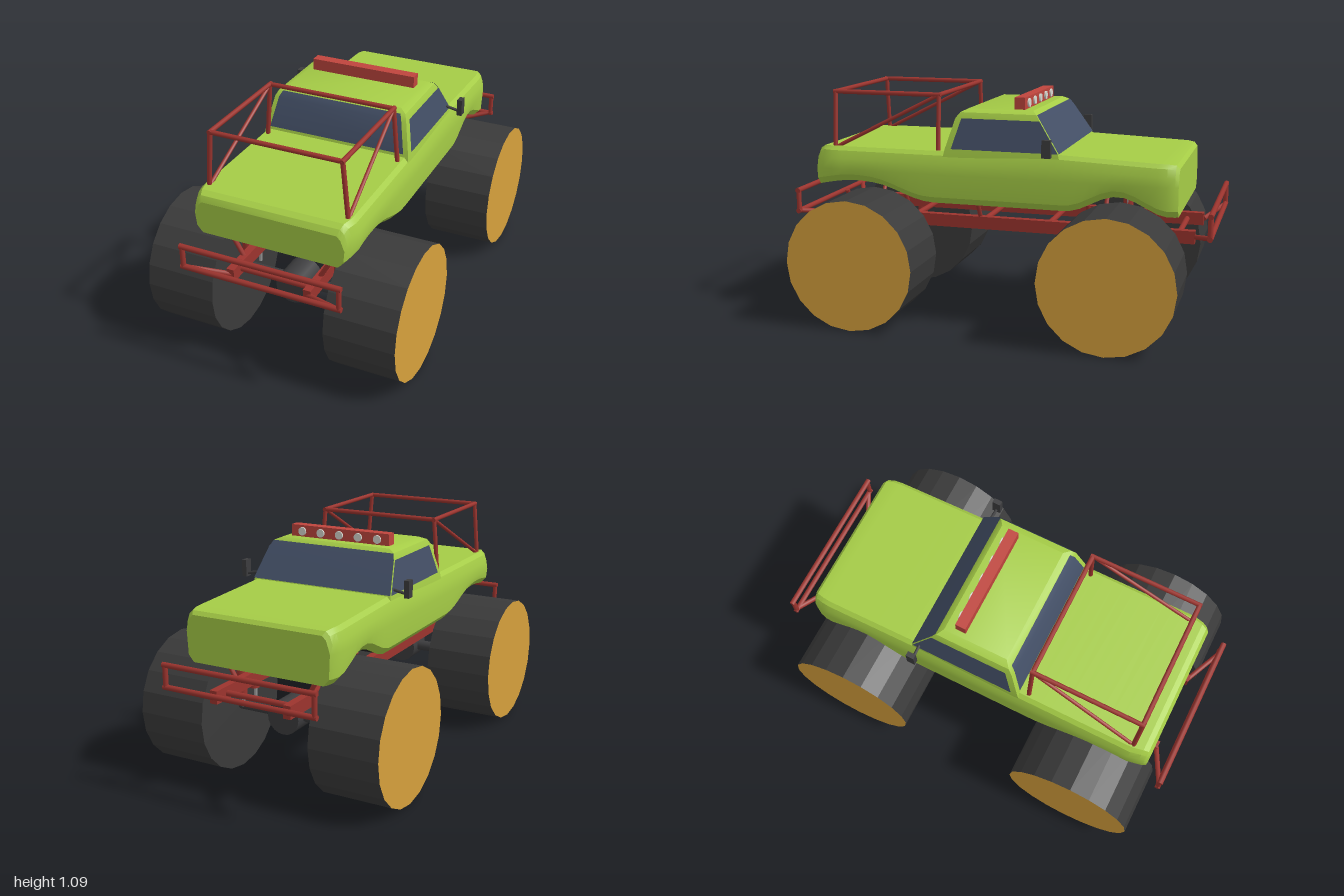
import * as THREE from 'three';
import { toCreasedNormals } from 'three/addons/utils/BufferGeometryUtils.js';

const mat = (color, extra = {}) => {
  const m = new THREE.MeshStandardMaterial({ color });
  return Object.assign(m, extra);
};
const GREEN = mat(0xa5cc46);
const RED = mat(0x9c342e);
const LIGHT_RED = mat(0xbf453d);
const DARK = mat(0x3c3c3e);
const TYRE = mat(0x3a3a3a, { flatShading: true });
const GOLD = mat(0xd6a03c);
const STEEL = mat(0x9a9a9a);
const LAMP = mat(0xd8d8d0);
const GLASS = mat(0x434f66, { side: THREE.DoubleSide });
const UNDER = mat(0x222222, { side: THREE.DoubleSide });

const V = (x, y, z) => new THREE.Vector3(x, y, z);

// Skin through a list of rings of points, optionally closed and capped
function loft(rings, { closed = false, caps = false, crease = 0.5 } = {}) {
  const n = rings[0].length, idx = [];
  const span = closed ? n : n - 1;
  for (let i = 0; i < rings.length - 1; i++) {
    for (let j = 0; j < span; j++) {
      const k = (j + 1) % n;
      const a = i * n + j, b = i * n + k, c = b + n, d = a + n;
      idx.push(a, d, c, a, c, b);
    }
  }
  if (caps) {
    const last = (rings.length - 1) * n;
    for (let k = 1; k < n - 1; k++) idx.push(0, k, k + 1, last, last + k + 1, last + k);
  }
  const g = new THREE.BufferGeometry().setFromPoints(rings.flat());
  g.setIndex(idx);
  return toCreasedNormals(g, crease);
}

export function createModel() {
  const root = new THREE.Group();
  const group = (name, parent = root) => {
    const g = new THREE.Group();
    g.name = name;
    parent.add(g);
    return g;
  };
  const add = (parent, name, geo, material, x = 0, y = 0, z = 0) => {
    const m = new THREE.Mesh(geo, material);
    m.name = name;
    m.position.set(x, y, z);
    parent.add(m);
    return m;
  };
  // Round bar between two points
  const bar = (parent, name, a, b, r, material = RED, sides = 8) => {
    const d = b.clone().sub(a);
    const m = add(parent, name, new THREE.CylinderGeometry(r, r, d.length(), sides), material);
    m.position.copy(a).add(b).multiplyScalar(0.5);
    m.quaternion.setFromUnitVectors(V(0, 1, 0), d.normalize());
    return m;
  };
  const AXLES = [0.63, -0.57];

  // Body shell: cross-sections along z with wheel arches in the lower edge
  const bump = (z, c, half) => Math.abs(z - c) < half ? Math.cos((z - c) / half * Math.PI / 2) ** 2 : 0;
  const lower = z => 0.58 + 0.08 * bump(z, 0.63, 0.33) + 0.08 * bump(z, -0.57, 0.24)
    + 0.045 * THREE.MathUtils.smoothstep(z, 0.6, 0.88);
  const upper = z => z > -0.3 ? 0.825 + 0.01 * THREE.MathUtils.smoothstep(-z, -0.2, 0.3)
    : 0.835 - 0.02 * (-0.3 - z) / 0.52;
  const section = (z, top, w, bot) => {
    const half = [[0.91 * w, bot], [0.985 * w, bot + 0.032], [w, 0.72], [0.985 * w, top - 0.055],
      [0.95 * w, top - 0.018], [0.9 * w, top]];
    return [...half.map(([x, y]) => V(x, y, z)), ...half.reverse().map(([x, y]) => V(-x, y, z))];
  };
  const stations = [[0.89, 0.785, 0.352], [0.875, 0.81, 0.362], [0.85, 0.825, 0.37]];
  for (let z = 0.8; z > -0.76; z -= 0.05) stations.push([z, upper(z), 0.382]);
  stations.push([-0.79, 0.817, 0.378], [-0.825, 0.812, 0.368], [-0.84, 0.795, 0.358]);
  const body = group('body');
  const rings = stations.map(([z, t, w]) => section(z, t, w, lower(z)));
  add(body, 'bodyShell', loft(rings, { caps: true, crease: 0.45 }), GREEN);
  add(body, 'undertray', loft(rings.map(r => [r[11], r[0]].map(p => V(p.x, p.y + 0.003, p.z)))), UNDER);

  // Cab: stacked rings [y, half width, rear z, hood-side z]
  const cab = [[0.8, 0.365, 0.245, -0.31], [0.84, 0.36, 0.235, -0.3], [0.98, 0.33, 0.192, -0.207],
    [1.006, 0.318, 0.172, -0.188], [1.02, 0.285, 0.145, -0.165]];
  add(body, 'cab', loft(cab.map(([y, w, b, f]) => [V(w, y, f), V(w, y, b), V(-w, y, b), V(-w, y, f)]),
    { closed: true, caps: true }), GREEN);
  const panes = cab.slice(1, 4);
  add(body, 'rearWindow', loft(panes.map(([y, w, b]) => [V(w - 0.022, y, b + 0.004), V(0.022 - w, y, b + 0.004)])), GLASS);
  add(body, 'windscreen', loft(panes.map(([y, w, , f]) => [V(-w, y, f - 0.004), V(w, y, f - 0.004)])), GLASS);
  for (const s of [1, -1]) {
    add(body, 'sideWindow', loft(panes.slice(0, 2).map(([y, w, b, f]) =>
      [V(s * (w + 0.004), y, f), V(s * (w + 0.004), y, b - 0.03)])), GLASS);
  }

  // Door mirrors
  for (const s of [1, -1]) {
    const mirror = group('doorMirror');
    add(mirror, 'mirrorHead', new THREE.BoxGeometry(0.024, 0.08, 0.04), DARK, s * 0.43, 0.873, -0.265);
    bar(mirror, 'mirrorArm', V(s * 0.35, 0.862, -0.265), V(s * 0.43, 0.846, -0.265), 0.007, DARK);
  }

  // Roof light bar with five lamps
  const lights = group('lightBar');
  add(lights, 'lightBarHousing', new THREE.BoxGeometry(0.52, 0.058, 0.05), LIGHT_RED, 0, 1.046, -0.095);
  for (let i = -2; i <= 2; i++) {
    const lamp = add(lights, 'lamp', new THREE.CylinderGeometry(0.02, 0.02, 0.012, 14), LAMP, i * 0.1, 1.046, -0.122);
    lamp.rotation.x = Math.PI / 2;
  }

  // Tubular cage over the bed
  const cage = group('bedCage');
  for (const z of [0.8, 0.28]) bar(cage, 'cageCrossbar', V(-0.305, 1.08, z), V(0.305, 1.08, z), 0.011);
  for (const s of [1, -1]) {
    const top = z => V(s * 0.305, 1.08, z), foot = z => V(s * 0.328, 0.815, z);
    bar(cage, 'cageRail', top(0.81), top(0.27), 0.011);
    for (const z of [0.8, 0.28]) bar(cage, 'cageLeg', top(z), foot(z), 0.011);
    bar(cage, 'cageDiagonal', foot(0.8), top(0.28), 0.009);
  }

  // Ladder frame
  const frame = group('frame');
  for (const s of [1, -1]) {
    add(frame, 'frameRail', new THREE.BoxGeometry(0.036, 0.06, 1.81), RED, s * 0.185, 0.46, 0.005);
    for (const z of [0.785, 0.48, -0.415, -0.72])
      bar(frame, 'bodyMount', V(s * 0.185, 0.48, z), V(s * 0.25, 0.595, z), 0.011);
    bar(frame, 'bodyMount', V(s * 0.185, 0.48, 0.12), V(s * 0.25, 0.59, 0.12), 0.011);
  }
  for (const z of [0.84, 0.48, 0.12, -0.2, -0.42, -0.82])
    bar(frame, 'crossMember', V(-0.185, 0.458, z), V(0.185, 0.458, z), 0.014);

  // Tube bumpers at both ends
  for (const e of [1, -1]) {
    const bumper = group('bumper');
    const z = e * 0.985;
    for (const y of [0.502, 0.603]) bar(bumper, 'bumperBar', V(-0.382, y, z), V(0.382, y, z), 0.013);
    for (const s of [1, -1]) {
      bar(bumper, 'bumperPost', V(s * 0.37, 0.502, z), V(s * 0.37, 0.603, z), 0.012);
      bar(bumper, 'bumperBrace', V(s * 0.185, 0.46, e * 0.9), V(s * 0.36, 0.502, z), 0.012);
    }
  }

  // Axles with differential, shocks and wheels
  for (const z of AXLES) {
    const axle = group('axleAssembly');
    bar(axle, 'axleTube', V(-0.3, 0.31, z), V(0.3, 0.31, z), 0.026, DARK, 10);
    bar(axle, 'differential', V(0, 0.31, z - 0.07), V(0, 0.31, z + 0.07), 0.08, DARK, 20);
    for (const s of [1, -1]) {
      for (const d of [-0.05, 0.05]) {
        bar(axle, 'shockRod', V(s * 0.226, 0.32, z + d), V(s * 0.208, 0.59, z + d), 0.008, STEEL);
        bar(axle, 'shockBody', V(s * 0.23, 0.38, z + d), V(s * 0.23, 0.545, z + d), 0.025, RED, 10);
      }
      const wheel = add(axle, 'wheel', new THREE.CylinderGeometry(0.31, 0.31, 0.33, 20), [TYRE, GOLD, TYRE], s * 0.435, 0.31, z);
      wheel.rotation.z = -s * Math.PI / 2;
    }
  }
  return root;
}
